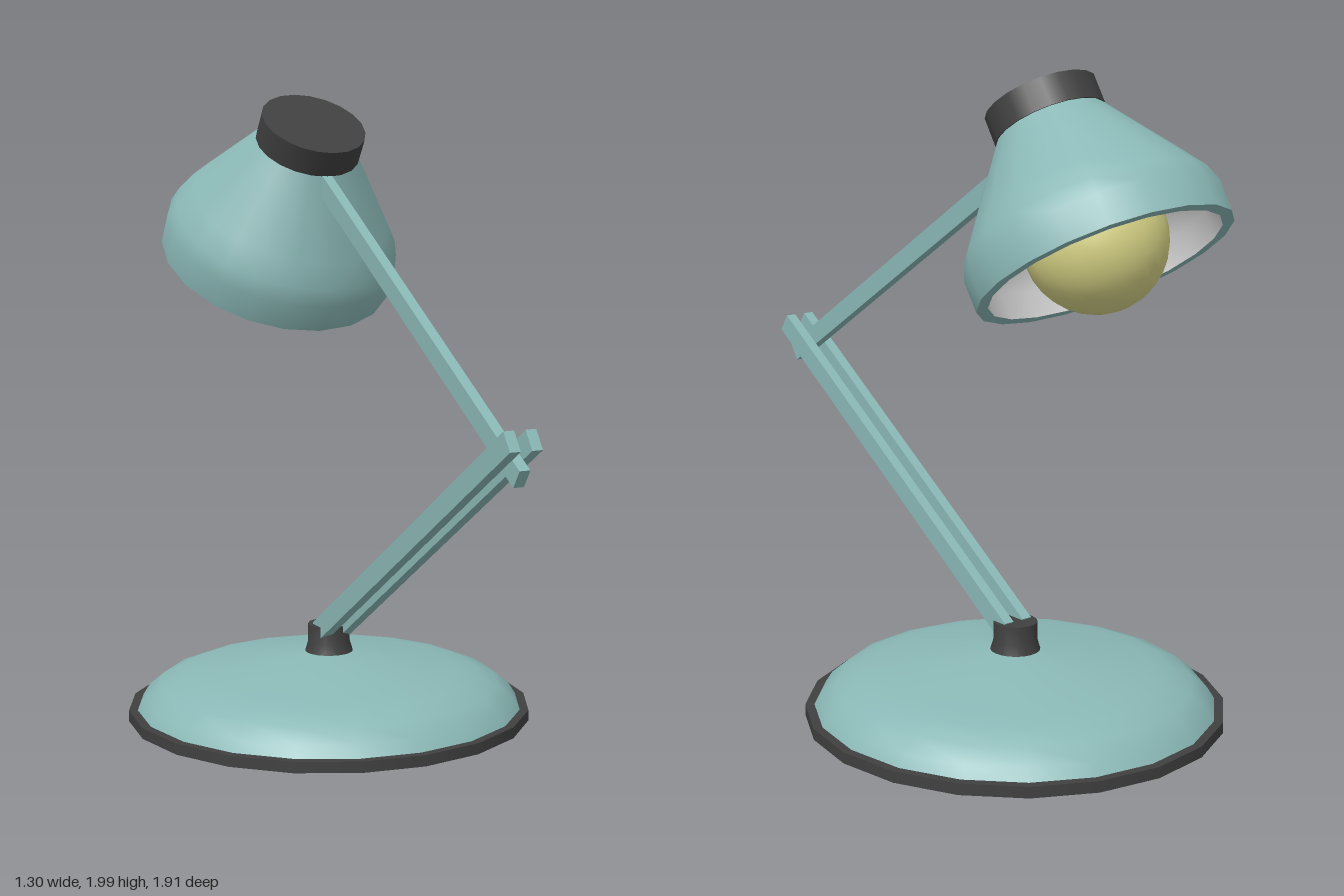
import * as THREE from 'three';
import { toCreasedNormals } from 'three/addons/utils/BufferGeometryUtils.js';

const SIDES = 20;
const paint = (color, side = THREE.FrontSide) => new THREE.MeshStandardMaterial({ color, side });

export function createModel() {
  const model = new THREE.Group();
  const teal = paint(0x8ab8b6);
  const dark = paint(0x404040);
  const yellow = paint(0xd6d285);
  const grey = paint(0xcccccc);

  const add = (parent, name, geometry, material, x = 0, y = 0, z = 0) => {
    const mesh = new THREE.Mesh(geometry, material);
    mesh.name = name;
    mesh.position.set(x, y, z);
    parent.add(mesh);
    return mesh;
  };
  const lathe = (points, crease = 0.6) => toCreasedNormals(
    new THREE.LatheGeometry(points.map(([r, y]) => new THREE.Vector2(r, y)), SIDES), crease);

  // Round base with a dark rim and a neck
  const base = new THREE.Group();
  base.name = 'base';
  base.position.z = -0.24;
  model.add(base);
  add(base, 'baseRim', new THREE.CylinderGeometry(0.65, 0.65, 0.035, SIDES), dark, 0, 0.0175);
  add(base, 'baseShell', lathe([
    [0.625, 0.03], [0.6, 0.07], [0.55, 0.112], [0.48, 0.14], [0.42, 0.152], [0.08, 0.208], [0, 0.21],
  ], 0.9), teal);
  add(base, 'neck', lathe([
    [0.08, 0.2], [0.068, 0.24], [0.068, 0.298], [0, 0.298],
  ]), dark);

  // Straight bar between two points given as [y, z]
  const bar = (name, x, [y0, z0], [y1, z1], width, height) => {
    const dy = y1 - y0, dz = z1 - z0;
    const geometry = new THREE.BoxGeometry(width, height, Math.hypot(dy, dz));
    const mesh = add(model, name, geometry, teal, x, (y0 + y1) / 2, (z0 + z1) / 2);
    mesh.rotation.x = Math.atan2(-dy, dz);
  };
  for (const s of [1, -1]) {
    bar(s > 0 ? 'lowerArmLeft' : 'lowerArmRight', s * 0.035, [0.275, -0.235], [1.058, 0.94], 0.034, 0.064);
  }
  bar('upperArm', 0, [0.952, 0.935], [1.745, -0.31], 0.034, 0.06);

  // Tilted head; its local origin is the middle of the cap's top
  const head = new THREE.Group();
  head.name = 'head';
  head.position.set(0, 1.902, -0.339);
  head.rotation.x = 0.571;
  model.add(head);
  add(head, 'cap', new THREE.CylinderGeometry(0.17, 0.17, 0.088, SIDES), dark, 0, -0.044);
  add(head, 'shadeOuter', lathe([
    [0.387, -0.534], [0.389, -0.44], [0.37, -0.385], [0.325, -0.318], [0.213, -0.156], [0.165, -0.086],
  ], 0.9), teal);
  add(head, 'shadeLip', lathe([[0.352, -0.534], [0.387, -0.534]]), teal);
  add(head, 'shadeInner', lathe([
    [0, -0.115], [0.14, -0.115], [0.185, -0.175], [0.295, -0.335], [0.337, -0.4], [0.355, -0.45], [0.352, -0.534],
  ], 0.9), grey);
  add(head, 'bulb', new THREE.SphereGeometry(0.21, 24, 16), yellow, 0, -0.453);
  add(head, 'bulbSocket', new THREE.CylinderGeometry(0.08, 0.08, 0.18, SIDES), dark, 0, -0.18);

  return model;
}
